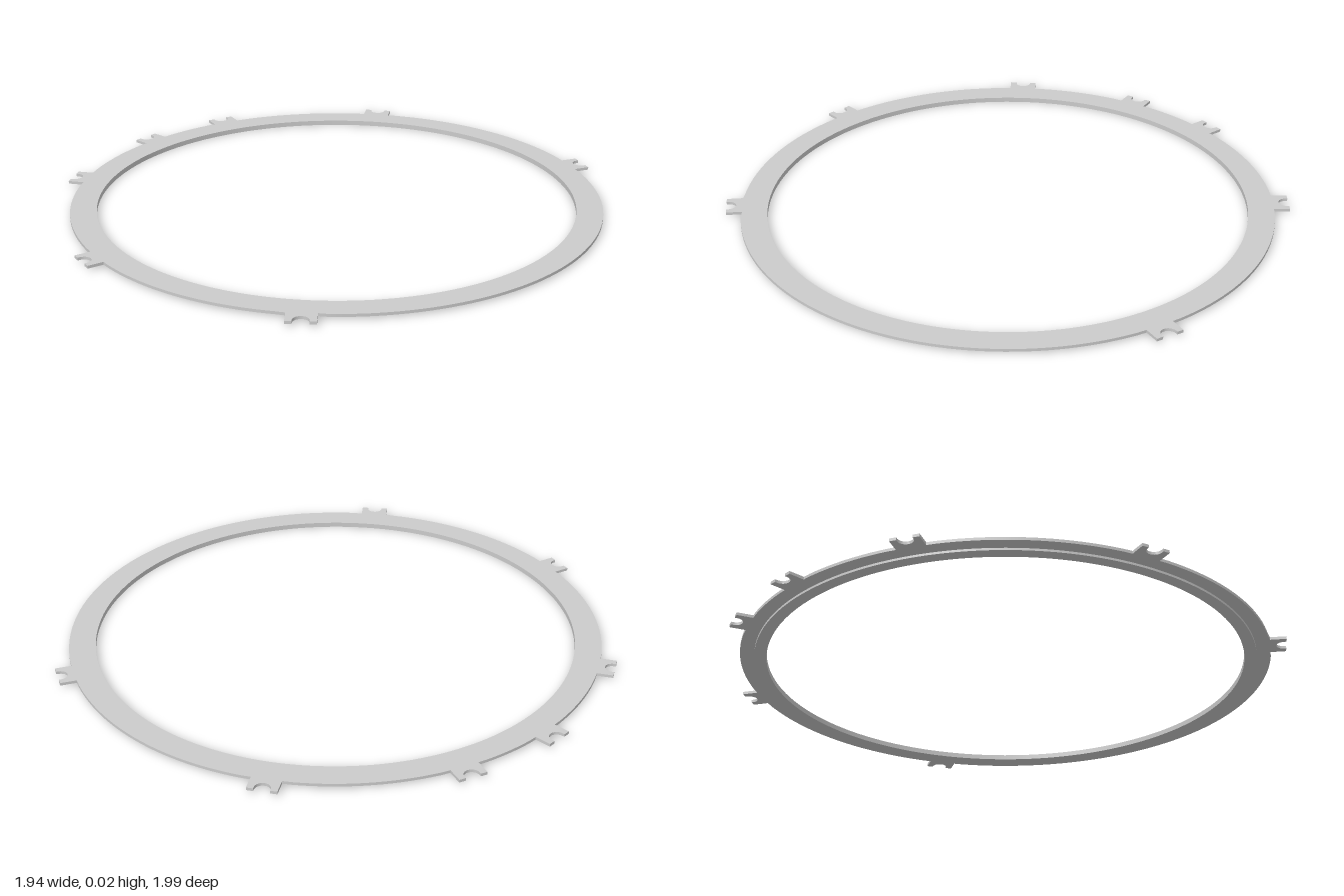
import * as THREE from 'three';
import { toCreasedNormals } from 'three/addons/utils/BufferGeometryUtils.js';

const CX = 0.018, CZ = -0.006;       // ring centre
const R_OUT = 0.945, R_STEP = 0.895, R_IN = 0.852;
const Y_STEP = 0.008, Y_TOP = 0.018;
const TAB_HALF = 0.05, TAB_TIP = 1.0, NOTCH = 0.027;
const rad = THREE.MathUtils.degToRad;

// [position, facing] of each tab in degrees, anticlockwise from +x seen from above
const TABS = [[21.8, 21.8], [80.4, 80.4], [118.8, 118.8], [139.5, 139.5],
  [167.8, 167.8], [213.7, 213.7], [263.9, 268]];

// Outline of one notched tab, walked anticlockwise
function tabPoints([at, facing]) {
  const root = Math.sqrt(R_OUT ** 2 - TAB_HALF ** 2) - 0.001;
  const local = [[root, -TAB_HALF], [TAB_TIP, -TAB_HALF], [TAB_TIP, -NOTCH]];
  for (let i = 0; i <= 12; i++) {
    const a = Math.PI * i / 12;
    local.push([TAB_TIP - 0.008 - NOTCH * Math.sin(a), -NOTCH * Math.cos(a)]);
  }
  local.push([TAB_TIP, NOTCH], [TAB_TIP, TAB_HALF], [root, TAB_HALF]);
  const pivot = new THREE.Vector2(R_OUT, 0);
  const centre = new THREE.Vector2();
  return local.map(([x, y]) => new THREE.Vector2(x, y)
    .rotateAround(pivot, rad(facing - at)).rotateAround(centre, rad(at)));
}

// Outer rim: arcs between the tabs joined by the tab outlines
function rimPoints() {
  const half = Math.asin(TAB_HALF / R_OUT) * 180 / Math.PI;
  const points = [];
  TABS.forEach((tab, i) => {
    points.push(...tabPoints(tab));
    const start = tab[0] + half;
    const end = (i + 1 < TABS.length ? TABS[i + 1][0] : TABS[0][0] + 360) - half;
    const n = Math.ceil((end - start) / 2);
    for (let k = 1; k < n; k++) {
      const a = rad(start + (end - start) * k / n);
      points.push(new THREE.Vector2(R_OUT * Math.cos(a), R_OUT * Math.sin(a)));
    }
  });
  return points;
}

// Flat ring cut from an outline, lying between two heights
function ringMesh(name, shape, y0, y1, material) {
  const hole = new THREE.Path();
  hole.absarc(0, 0, R_IN, 0, Math.PI * 2, true);
  shape.holes.push(hole);
  const geometry = new THREE.ExtrudeGeometry(shape,
    { depth: y1 - y0, bevelEnabled: false, curveSegments: 90 });
  geometry.rotateX(-Math.PI / 2);
  const mesh = new THREE.Mesh(toCreasedNormals(geometry, rad(30)), material);
  mesh.name = name;
  mesh.position.set(CX, y0, CZ);
  return mesh;
}

export function createModel() {
  const group = new THREE.Group();
  group.name = 'tabbedRing';
  const material = new THREE.MeshStandardMaterial({ color: 0xcccccc });

  // Upper plate carrying the notched tabs
  group.add(ringMesh('tabbedPlate', new THREE.Shape(rimPoints()), Y_STEP, Y_TOP, material));

  // Narrower locating ring underneath
  const lower = new THREE.Shape();
  lower.absarc(0, 0, R_STEP, 0, Math.PI * 2, false);
  group.add(ringMesh('locatingRing', lower, 0, Y_STEP, material));
  return group;
}
